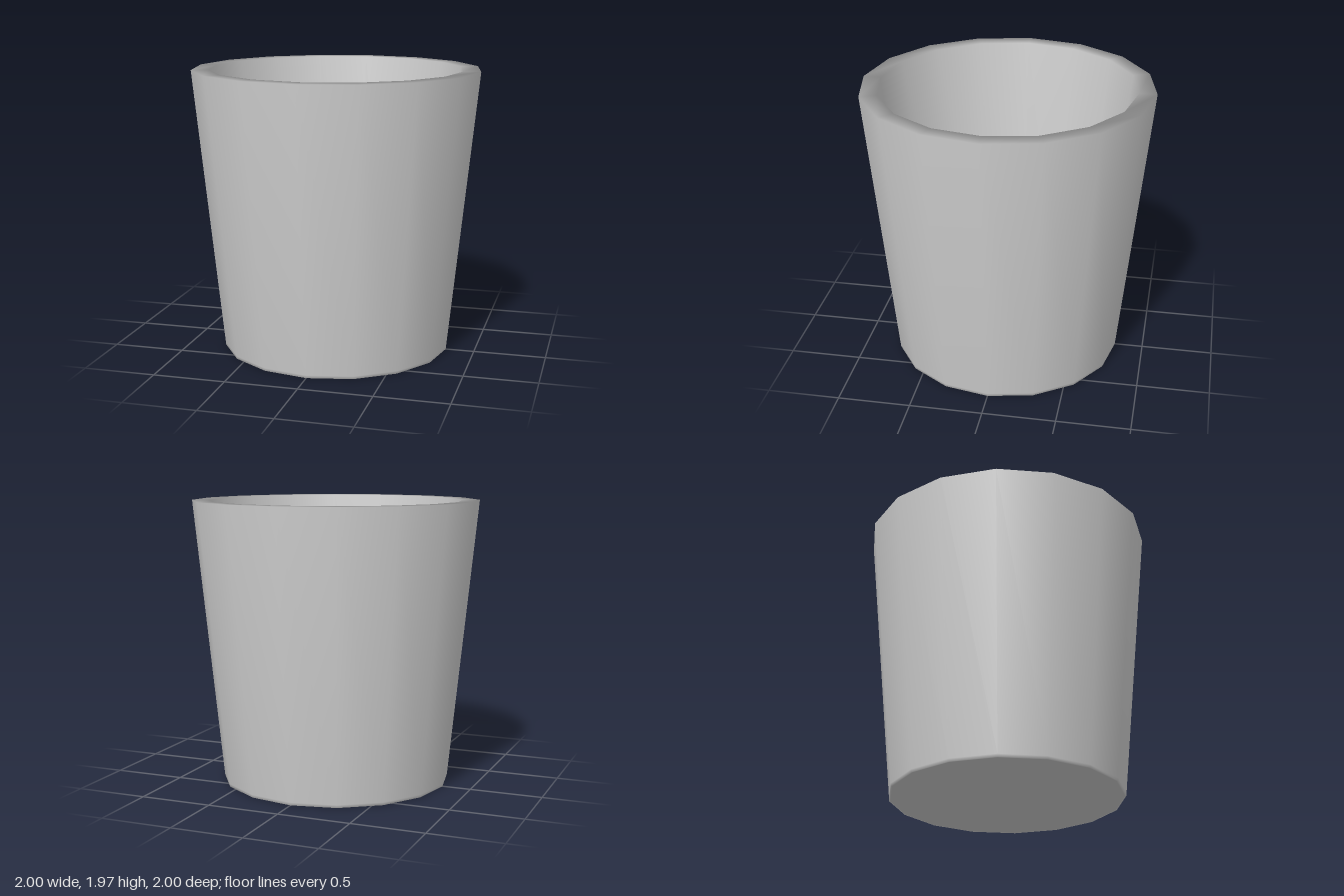
import * as THREE from 'three';

export function createModel() {
  const group = new THREE.Group();
  group.name = 'cup';
  const material = new THREE.MeshStandardMaterial({ color: 0xcccccc });

  // One closed wall profile: underside, outer wall, flat rim, inner wall, floor
  const profile = [
    [0, 0], [0.79, 0], [0.8, 0], [0.802, 0.02],
    [1, 1.97], [0.88, 1.97],
    [0.68, 0.08], [0.66, 0.08], [0, 0.08],
  ].map(([r, y]) => new THREE.Vector2(r, y));

  // Tapered sixteen-sided body with smooth normals
  const body = new THREE.Mesh(new THREE.LatheGeometry(profile, 16), material);
  body.name = 'cupBody';
  group.add(body);
  return group;
}
